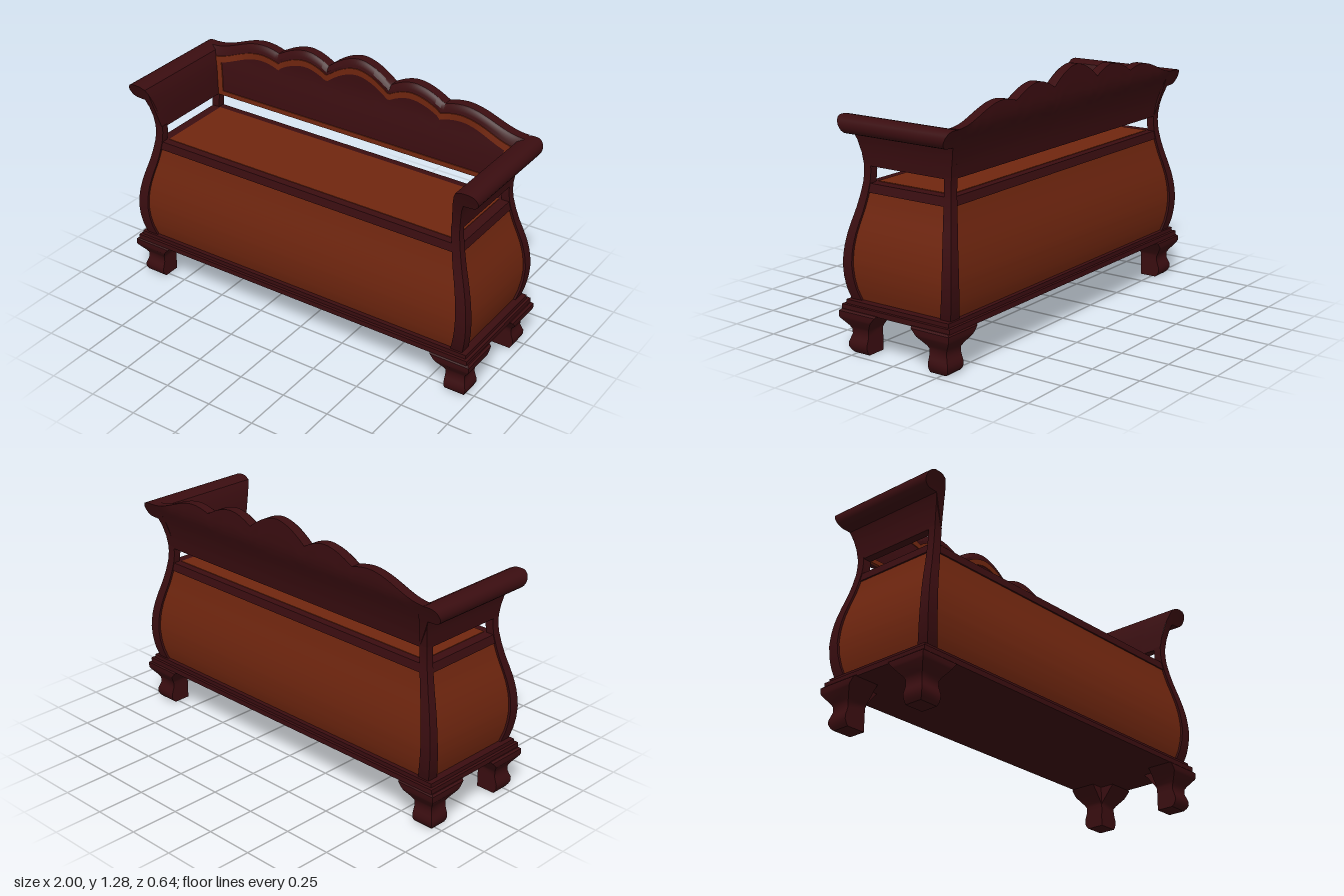
import * as THREE from 'three';
import { toCreasedNormals } from 'three/addons/utils/BufferGeometryUtils.js';

const dark = new THREE.MeshStandardMaterial({ color: 0x3a0d10 });
const warm = new THREE.MeshStandardMaterial({ color: 0x70260f });

// Bulging outline: [y, half width, half depth]
const OUTLINE = [
  [0.25, 0.943, 0.288], [0.3, 0.957, 0.303], [0.36, 0.967, 0.312], [0.43, 0.97, 0.316],
  [0.5, 0.963, 0.311], [0.56, 0.951, 0.302], [0.62, 0.934, 0.289], [0.68, 0.914, 0.275],
  [0.74, 0.898, 0.263], [0.8, 0.885, 0.254], [0.84, 0.88, 0.251], [0.88, 0.878, 0.251],
  [0.94, 0.883, 0.259], [1.0, 0.89, 0.274], [1.06, 0.9, 0.294], [1.12, 0.92, 0.32],
];
// Crest of the backrest, half of it: [x, y]
const HUMPS = [[0, 0.18, 1.28, 1.195, 0], [0.18, 0.47, 1.24, 1.185, 0.31], [0.47, 0.9, 1.2, 1.12, 0.58]];

function lerpTable(table, t, col) {
  let i = 0;
  while (i < table.length - 2 && t > table[i + 1][0]) i++;
  const a = table[i], b = table[i + 1];
  return THREE.MathUtils.lerp(a[col], b[col], THREE.MathUtils.clamp((t - a[0]) / (b[0] - a[0]), 0, 1));
}
const halfX = (y) => lerpTable(OUTLINE, y, 1);
const halfZ = (y) => lerpTable(OUTLINE, y, 2);
const armInner = (y) => lerpTable([[0.88, 0.836], [0.96, 0.842], [1.03, 0.853], [1.08, 0.868], [1.12, 0.9]], y, 1);
const backFront = (y) => lerpTable([[0.88, -0.213], [0.95, -0.218], [1.03, -0.23], [1.12, -0.25]], y, 1);

function crest(x) {
  const ax = Math.abs(x);
  const [x0, x1, peak, valley, mid] = HUMPS.find((h) => ax <= h[1] + 1e-6) || HUMPS[2];
  if (x1 === 0.9 && ax > mid) return valley + (peak - valley) * (0.5 + 0.5 * Math.cos(Math.PI * Math.min(1, (ax - mid) / 0.32)));
  const leftValley = x0 === 0.18 ? 1.195 : x0 === 0.47 ? 1.178 : peak;
  const left = ax < mid;
  const k = left ? (mid - ax) / (mid - x0) : (ax - mid) / (x1 - mid);
  return peak - (peak - (left ? leftValley : valley)) * Math.pow(k, 1.8);
}

// Joins closed rings of [x, y, z] points, caps both ends and faces everything outward
function loft(rings, crease = 0.55) {
  const n = rings[0].length, pts = rings.flat(), idx = [];
  for (let r = 0; r < rings.length - 1; r++) {
    for (let i = 0; i < n; i++) {
      const a = r * n + i, b = r * n + (i + 1) % n;
      idx.push(a, b, b + n, a, b + n, a + n);
    }
  }
  const V = (i) => new THREE.Vector3(...pts[i]);
  let volume = 0;
  const centre = pts.reduce((s, p) => s.add(new THREE.Vector3(...p)), new THREE.Vector3()).divideScalar(pts.length);
  for (let i = 0; i < idx.length; i += 3) {
    const [a, b, c] = [0, 1, 2].map((k) => V(idx[i + k]).sub(centre));
    volume += a.dot(b.cross(c));
  }
  if (volume < 0) idx.reverse();
  const mean = (ring) => ring.reduce((s, p) => s.add(new THREE.Vector3(...p)), new THREE.Vector3()).divideScalar(n);
  for (const [r, next] of [[0, 1], [rings.length - 1, rings.length - 2]]) {
    const out = mean(rings[r]).sub(mean(rings[next]));
    const size = out.toArray().map(Math.abs), drop = size.indexOf(Math.max(...size));
    const flat = rings[r].map((p) => new THREE.Vector2(...p.filter((_, k) => k !== drop)));
    for (const [a, b, c] of THREE.ShapeUtils.triangulateShape(flat, [])) {
      const [i, j, k] = [a + r * n, b + r * n, c + r * n];
      const normal = V(j).sub(V(i)).cross(V(k).sub(V(i)));
      if (normal.dot(out) > 0) idx.push(i, j, k); else idx.push(i, k, j);
    }
  }
  const g = new THREE.BufferGeometry();
  g.setAttribute('position', new THREE.Float32BufferAttribute(pts.flat(), 3));
  g.setIndex(idx);
  return toCreasedNormals(g, crease);
}

const steps = (a, b, n) => Array.from({ length: n + 1 }, (_, i) => a + (b - a) * i / n);
const rect = (x0, x1, y, z0, z1) => [[x0, y, z0], [x1, y, z0], [x1, y, z1], [x0, y, z1]];

export function createModel() {
  const model = new THREE.Group();
  const add = (name, geometry, material) => {
    const mesh = new THREE.Mesh(geometry, material);
    mesh.name = name;
    model.add(mesh);
    return mesh;
  };
  const box = (name, w, h, d, y, material) =>
    add(name, new THREE.BoxGeometry(w, h, d), material).position.set(0, y, 0);

  // Chest with bulging sides, top rail and seat
  const shell = (inset) => (y) => rect(inset - halfX(y), halfX(y) - inset, y, inset - halfZ(y), halfZ(y) - inset);
  add('chest', loft(steps(0.25, 0.77, 18).map(shell(0.012))), warm);
  add('seatRail', loft([0.758, 0.78, 0.8].map(shell(0.004))), dark);
  box('seat', 1.66, 0.02, 0.42, 0.793, warm);

  // Stepped base moulding
  box('baseLower', 1.97, 0.026, 0.63, 0.222, dark);
  box('baseUpper', 1.94, 0.022, 0.6, 0.244, dark);

  // Foot profile: [y, outer x, outer z, inner x, inner z]
  const footProfile = [
    [0, 0.955, 0.27, 0.855, 0.18], [0.012, 0.963, 0.283, 0.855, 0.18], [0.03, 0.971, 0.291, 0.855, 0.18],
    [0.05, 0.971, 0.291, 0.855, 0.18], [0.07, 0.964, 0.284, 0.855, 0.18], [0.09, 0.958, 0.277, 0.855, 0.18],
    [0.115, 0.959, 0.278, 0.855, 0.18], [0.13, 0.967, 0.287, 0.848, 0.171], [0.17, 0.997, 0.318, 0.819, 0.137],
    [0.18, 1, 0.322, 0.812, 0.13], [0.205, 1, 0.322, 0.79, 0.107], [0.213, 0.99, 0.312, 0.785, 0.102],
  ];
  // Arm section: inner face, flat top, outer roll, neck
  const armSection = [0.88, 0.94, 1.0, 1.04, 1.08].map((y) => [armInner(y), y]);
  armSection.push([0.88, 1.105], [0.905, 1.117], [0.925, 1.12]);
  for (const a of steps(Math.PI / 2, -Math.PI / 2, 10)) {
    armSection.push([0.949 + 0.042 * Math.cos(a), 1.078 + 0.042 * Math.sin(a)]);
  }
  armSection.push([0.908, 1.034], [0.895, 1.0], [0.884, 0.94], [0.878, 0.88]);

  for (const sx of [1, -1]) {
    const side = sx > 0 ? 'left' : 'right';
    add(side + 'Arm', loft(steps(-1, 1, 4).map((t) => armSection.map(([x, y]) => [sx * x, y, t * halfZ(y)]))), dark);
    // Trim strip beside the arm
    add(side + 'BackTrim', loft(steps(0.88, 1.08, 8).map((y) =>
      rect(sx * (armInner(y) - 0.03), sx * (armInner(y) + 0.004), y, backFront(y) - 0.01, backFront(y) + 0.005))), warm);
    for (const sz of [1, -1]) {
      const corner = side + (sz > 0 ? 'Front' : 'Back');
      add(corner + 'Post', loft(steps(0.25, 0.89, 22).map((y) => {
        const w = 0.044 + 0.02 * Math.max(0, (0.8 - y) / 0.55);
        return rect(sx * (halfX(y) - w), sx * halfX(y), y, sz * (halfZ(y) - w + 0.004), sz * halfZ(y));
      })), dark);
      // Bracket foot, L-shaped where it meets the base
      add(corner + 'Foot', loft(footProfile.map(([y, xo, zo, xi, zi]) =>
        [[0.856, 0.181], [xi, 0.181], [xi, zo], [xo, zo], [xo, zi], [0.856, zi]].map(([x, z]) => [sx * x, y, sz * z]))), dark);
    }
  }

  // Flared backrest with a scalloped, chamfered crest
  const backX = (u, y) => u * (armInner(Math.min(y, 1.12)) + 0.01);
  add('backrest', loft(steps(-1, 1, 120).map((u) => {
    const top = crest(u * 0.9);
    const rows = steps(0.88, top - 0.028, 8);
    const ring = rows.map((y) => [backX(u, y), y, backFront(y)]);
    ring.push([backX(u, top), top - 0.006, backFront(top) - 0.012], [backX(u, top), top, backFront(top) - 0.02]);
    ring.push([backX(u, top), top, -halfZ(top)]);
    return ring.concat(rows.reverse().map((y) => [backX(u, y), y, -halfZ(y)]));
  })), dark);

  // Trim bands along the crest and the lower edge
  const band = (name, half, low, high) => add(name, loft(steps(-half, half, 110).map((x) => {
    const [y0, y1] = [low(x), high(x)];
    return [[x, y0, backFront(y0) + 0.005], [x, y1, backFront(y1) + 0.005],
      [x, y1, backFront(y1) - 0.01], [x, y0, backFront(y0) - 0.01]];
  })), warm);
  band('crestTrim', 0.865, (x) => crest(x) - 0.076, (x) => crest(x) - 0.044);
  band('lowerTrim', 0.83, () => 0.88, () => 0.904);

  return model;
}
